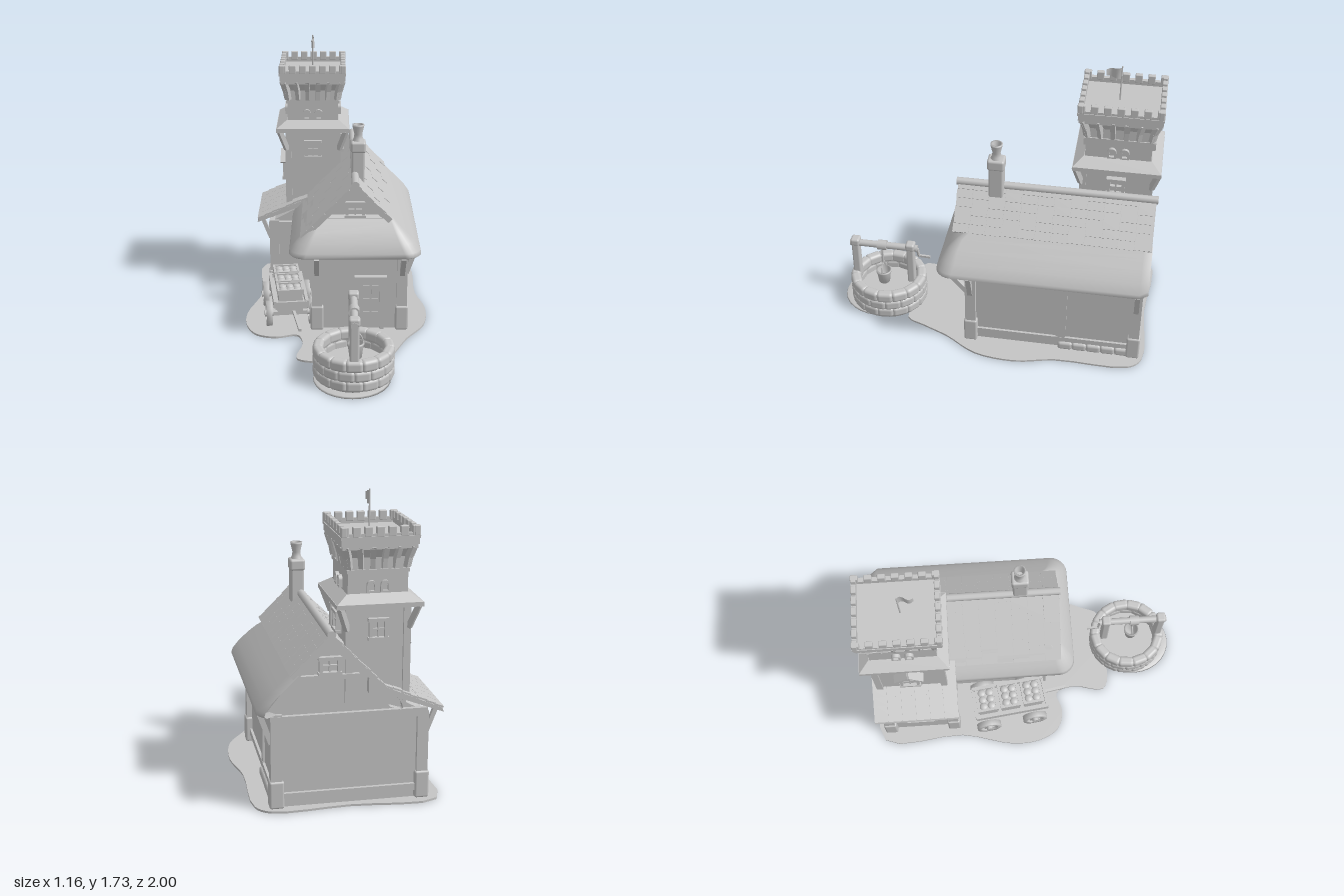
import * as THREE from 'three';
import { RoundedBoxGeometry } from 'three/addons/geometries/RoundedBoxGeometry.js';

const grey = new THREE.MeshStandardMaterial({ color: 0xc4c4c4, side: THREE.DoubleSide });
grey.name = 'plain grey';
const V = (x, y, z) => new THREE.Vector3(x, y, z);

function add(parent, name, geo, x = 0, y = 0, z = 0) {
  const m = new THREE.Mesh(geo, grey);
  m.name = name;
  m.position.set(x, y, z);
  parent.add(m);
  return m;
}
function group(parent, name, x = 0, y = 0, z = 0) {
  const g = new THREE.Group();
  g.name = name;
  g.position.set(x, y, z);
  parent.add(g);
  return g;
}
// box given by its limits
const span = (p, name, x0, x1, y0, y1, z0, z1) =>
  add(p, name, new THREE.BoxGeometry(x1 - x0, y1 - y0, z1 - z0), (x0 + x1) / 2, (y0 + y1) / 2, (z0 + z1) / 2);
// beam between two points of its parent's space
function beam(p, name, a, b, w, h = w) {
  const m = add(p, name, new THREE.BoxGeometry(w, h, a.distanceTo(b)));
  m.position.copy(a).lerp(b, 0.5);
  m.quaternion.setFromRotationMatrix(new THREE.Matrix4().lookAt(b, a, V(0, 1, 0)));
  return m;
}
const cyl = (p, name, r0, r1, h, x, y, z, n = 16) => add(p, name, new THREE.CylinderGeometry(r1, r0, h, n), x, y, z);
// flat shape in x-y, extruded along z
function slab(p, name, pts, z0, z1) {
  const s = new THREE.Shape(pts.map(q => new THREE.Vector2(q[0], q[1])));
  return add(p, name, new THREE.ExtrudeGeometry(s, { depth: z1 - z0, bevelEnabled: false }), 0, 0, z0);
}
const lathe = (pts, n) => new THREE.LatheGeometry(pts.map(q => new THREE.Vector2(...q)), n);
// skin over a list of open cross-sections
function loft(rows) {
  const n = rows[0].length, idx = [];
  for (let i = 0; i < rows.length - 1; i++) for (let j = 0; j < n - 1; j++) {
    const a = i * n + j;
    idx.push(a, a + n, a + 1, a + 1, a + n, a + n + 1);
  }
  const g = new THREE.BufferGeometry().setFromPoints(rows.flat());
  g.setIndex(idx);
  g.computeVertexNormals();
  return g;
}
// framed window facing +z, origin at its middle
function windowFrame(p, w, h, x, y, z) {
  const g = group(p, 'window', x, y, z);
  for (const s of [-1, 1]) {
    span(g, 'windowJamb', s * w / 2 - 0.009, s * w / 2 + 0.009, -h / 2, h / 2, -0.01, 0.02);
    span(g, 'windowRail', -w / 2 - 0.015, w / 2 + 0.015, s * h / 2 - 0.009, s * h / 2 + 0.009, -0.01, 0.025);
  }
  span(g, 'mullion', -0.004, 0.004, -h / 2, h / 2, -0.01, 0.012);
  span(g, 'glazingBar', -w / 2, w / 2, -0.004, 0.004, -0.01, 0.012);
  return g;
}
// corner post with a wider foot
function post(p, x, z, top) {
  span(p, 'cornerPost', x - 0.032, x + 0.032, 0.02, top, z - 0.032, z + 0.032);
  add(p, 'postFoot', new RoundedBoxGeometry(0.082, 0.16, 0.082, 2, 0.012), x, 0.095, z);
}

const RX = 0.11; // ridge x

function buildGround(root) {
  const pts = [[-0.5, -0.97], [-0.5, -0.45], [-0.58, -0.12], [-0.57, 0.06], [-0.5, 0.19], [-0.38, 0.23], [-0.25, 0.2],
    [-0.21, 0.32], [-0.24, 0.52], [-0.12, 0.56], [0.1, 0.5], [0.3, 0.53], [0.36, 0.41], [0.43, 0.25], [0.55, 0.05],
    [0.58, -0.2], [0.53, -0.45], [0.52, -0.9], [0.44, -0.98], [0, -0.97]];
  const c = new THREE.CatmullRomCurve3(pts.map(q => V(q[0], -q[1], 0)), true, 'centripetal').getPoints(80);
  const g = new THREE.ExtrudeGeometry(new THREE.Shape(c.map(q => new THREE.Vector2(q.x, q.y))), { depth: 0.012, bevelEnabled: false });
  add(root, 'ground', g.rotateX(-Math.PI / 2), 0, 0.003, 0);
}

function buildHouse(root) {
  const h = group(root, 'house');
  span(h, 'walls', -0.14, 0.405, 0.003, 0.57, -0.93, 0.1);
  slab(h, 'gableWall', [[-0.25, 0.55], [0.47, 0.55], [0.32, 0.74], [RX, 0.96], [-0.1, 0.74]], -0.93, 0.13);
  // corner posts, beams and stone footing
  for (const [x, z] of [[-0.125, 0.095], [0.405, 0.095], [0.405, -0.92]]) post(h, x, z, 0.56);
  span(h, 'frontBeam', -0.16, 0.44, 0.52, 0.56, 0.08, 0.13);
  span(h, 'sideBeam', 0.39, 0.435, 0.52, 0.56, -0.95, 0.12);
  span(h, 'sideMidPost', 0.39, 0.418, 0.05, 0.54, -0.5, -0.44);
  span(h, 'sideSill', 0.39, 0.42, 0.06, 0.1, -0.9, 0.07);
  span(h, 'backTopBeam', -0.44, 0.43, 0.5, 0.55, -0.955, -0.92);
  span(h, 'backSill', -0.44, 0.43, 0.06, 0.1, -0.95, -0.92);
  for (let i = 0; i < 5; i++)
    add(h, 'footingStone', new RoundedBoxGeometry(0.05, 0.06, 0.095, 2, 0.02), 0.41, 0.038, -0.5 - i * 0.088);
  // eave braces
  for (const x of [-0.125, 0.405]) beam(h, 'frontBrace', V(x, 0.39, 0.12), V(x, 0.545, 0.25), 0.03);
  for (const z of [0.095, -0.92]) beam(h, 'sideBrace', V(0.43, 0.39, z), V(0.49, 0.56, z), 0.03);
  // door
  const d = group(h, 'door', 0.21, 0, 0.1);
  span(d, 'doorLeaf', -0.06, 0.06, 0.03, 0.34, 0, 0.015);
  for (const s of [-1, 1]) span(d, 'doorJamb', s * 0.07 - 0.013, s * 0.07 + 0.013, 0.02, 0.35, 0, 0.035);
  span(d, 'doorLintel', -0.1, 0.1, 0.345, 0.375, 0, 0.045);
  for (const x of [-0.027, 0.027]) for (const y of [0.1, 0.19, 0.28])
    span(d, 'doorPanel', x - 0.02, x + 0.02, y - 0.033, y + 0.033, 0.01, 0.023);
  // gable trim at both ends
  for (const [z, s] of [[0.13, 1], [-0.93, -1]]) {
    const g = group(h, 'gableTrim', RX, 0, z);
    if (s < 0) g.rotation.y = Math.PI;
    windowFrame(g, 0.1, 0.085, 0, 0.82, 0.005);
    span(g, 'gableBeam', -0.21, 0.21, 0.745, 0.77, -0.01, 0.025);
    for (const k of [-1, 1]) beam(g, 'gableRafter', V(k * 0.2, 0.755, 0.01), V(0, 0.955, 0.01), 0.03);
  }
  buildRoof(h);
}

function buildRoof(h) {
  const r = group(h, 'mainRoof');
  // thatched lower roof: U-shaped contours wrapping round the front
  const contour = ([y, hx, zf, rad]) => {
    const pts = [V(RX + hx - 0.04, y, -0.98), V(RX + hx, y, -0.93)];
    for (const s of [1, -1]) for (let i = 0; i <= 6; i++) {
      const a = (s > 0 ? i : 6 - i) * Math.PI / 12;
      pts.push(V(RX + s * (hx - rad + rad * Math.cos(a)), y, zf - rad + rad * Math.sin(a)));
    }
    pts.push(V(RX - hx, y, -0.975));
    return pts;
  };
  const levels = [[0.575, 0.33, 0.13, 0.05], [0.555, 0.39, 0.29, 0.09], [0.565, 0.402, 0.302, 0.1], [0.59, 0.395, 0.297, 0.1],
    [0.64, 0.36, 0.272, 0.09], [0.7, 0.302, 0.232, 0.06], [0.75, 0.25, 0.18, 0.03], [0.785, 0.214, 0.13, 0.02]];
  add(r, 'thatch', loft(levels.map(contour)));
  // upper slopes with courses of uneven tiles
  for (const s of [1, -1]) {
    const low = s > 0 ? [0.22, 0.78] : [0.33, 0.665];
    const edge = [[RX, 1.005], [RX + s * low[0], low[1]], [RX + s * (low[0] - 0.02), low[1] - 0.02], [RX, 0.96]];
    slab(r, 'upperSlope', edge, -0.975, 0.215);
    const rows = s > 0 ? 6 : 9;
    for (let i = 0; i < rows; i++) for (let j = 0; j < 12; j++) {
      const t = (i + 0.5) / rows, wob = ((i * 7 + j * 5) % 4) * 0.0015;
      const m = add(r, 'roofTile', new THREE.BoxGeometry(0.052, 0.009, 0.097),
        RX + s * low[0] * t, 1.003 + (low[1] - 1.005) * t + wob, -0.925 + j * 0.099 + (i % 2) * 0.004);
      m.rotation.z = -s * (Math.atan2(1.005 - low[1], low[0]) - 0.06);
    }
  }
  const ridge = cyl(r, 'ridgeCap', 0.024, 0.024, 1.21, RX, 1.0, -0.38, 10);
  ridge.rotation.x = Math.PI / 2;
  // chimney
  const c = group(r, 'chimney', 0.13, 0, -0.02);
  add(c, 'chimneyStack', new RoundedBoxGeometry(0.08, 0.32, 0.09, 2, 0.012), 0, 1.04, 0);
  add(c, 'chimneyBand', new RoundedBoxGeometry(0.093, 0.07, 0.105, 2, 0.015), 0, 1.175, 0);
  const pot = [[0.04, 1.2], [0.028, 1.225], [0.024, 1.25], [0.036, 1.3], [0.037, 1.31], [0.026, 1.31], [0.018, 1.25]];
  add(c, 'chimneyPot', lathe(pot, 16));
}

function buildLeanTo(root) {
  const l = group(root, 'leanTo');
  span(l, 'leanToWalls', -0.42, -0.13, 0.003, 0.53, -0.93, -0.49);
  slab(l, 'leanToGable', [[-0.43, 0.52], [-0.1, 0.52], [-0.1, 0.69], [-0.17, 0.66]], -0.93, -0.49);
  for (const z of [-0.5, -0.92]) post(l, -0.415, z, 0.53);
  slab(l, 'leanToRoof', [[-0.525, 0.525], [-0.515, 0.55], [-0.17, 0.7], [-0.1, 0.76], [-0.1, 0.66], [-0.17, 0.66]], -0.975, -0.45);
  span(l, 'leanToBeam', -0.45, -0.14, 0.48, 0.52, -0.5, -0.465);
  span(l, 'leanToInnerPost', -0.19, -0.15, 0.02, 0.5, -0.5, -0.47);
  for (let i = 0; i < 7; i++) for (let j = 0; j < 6; j++) {
    const x = -0.497 + i * 0.047;
    const m = add(l, 'leanToTile', new THREE.BoxGeometry(0.055, 0.01, 0.085), x, 0.561 + (x + 0.5) * 0.435 + ((i + j * 3) % 3) * 0.002, -0.93 + j * 0.0875);
    m.rotation.z = 0.36;
  }
  for (const z of [-0.5, -0.92]) beam(l, 'leanToBrace', V(-0.44, 0.4, z), V(-0.49, 0.53, z), 0.025);
  const w = windowFrame(l, 0.15, 0.19, -0.422, 0.3, -0.71);
  w.rotation.y = -Math.PI / 2;
}

function buildTower(root) {
  const t = group(root, 'tower', -0.155, 0, -0.725);
  const block = (name, hx, hz, y0, y1) => span(t, name, -hx, hx, y0, y1, -hz, hz);
  // four-sided flare between two levels
  const flare = (name, a, b) => {
    const ring = ([hx, hz, y]) => [V(hx, y, hz), V(hx, y, -hz), V(-hx, y, -hz), V(-hx, y, hz), V(hx, y, hz)];
    const g = loft([ring(a), ring(b)]).toNonIndexed();
    g.computeVertexNormals();
    add(t, name, g);
  };
  block('lowerShaft', 0.165, 0.205, 0.3, 1.16);
  block('skirtEave', 0.238, 0.262, 1.135, 1.16);
  flare('skirtRoof', [0.235, 0.26, 1.16], [0.17, 0.2, 1.205]);
  block('upperShaft', 0.165, 0.195, 1.18, 1.47);
  block('stringCourse', 0.172, 0.203, 1.315, 1.335);
  flare('corbelCove', [0.167, 0.197, 1.4], [0.195, 0.23, 1.465]);
  block('lowerCornice', 0.205, 0.24, 1.45, 1.475);
  block('deck', 0.2, 0.23, 1.475, 1.505);
  for (const sx of [-1, 1]) for (const sz of [-1, 1]) {
    span(t, 'cornerPilaster', sx * 0.16 - 0.02, sx * 0.16 + 0.02, 0.6, 1.14, sz * 0.2 - 0.02, sz * 0.2 + 0.02);
    beam(t, 'skirtBracket', V(sx * 0.17, 1.01, sz * 0.21), V(sx * 0.215, 1.14, sz * 0.245), 0.03);
  }
  // the four faces: k = 0 front, 1 right, 2 back, 3 left
  for (let k = 0; k < 4; k++) {
    const f = group(t, 'towerFace');
    f.rotation.y = k * Math.PI / 2;
    const odd = k % 2, d = odd ? 0.165 : 0.195, half = odd ? 0.24 : 0.205, out = odd ? 0.205 : 0.24;
    for (const s of [-1, 1]) {
      // paired arched windows
      const arch = new THREE.Shape();
      arch.moveTo(-0.026, 0).lineTo(-0.026, 0.04).absarc(0, 0.04, 0.026, Math.PI, 0, true).lineTo(0.026, 0);
      const hole = new THREE.Path();
      hole.moveTo(-0.015, 0.01).lineTo(-0.015, 0.04).absarc(0, 0.04, 0.015, Math.PI, 0, true).lineTo(0.015, 0.01);
      arch.holes.push(hole);
      add(f, 'archedWindow', new THREE.ExtrudeGeometry(arch, { depth: 0.025, bevelEnabled: false }), s * 0.038, 1.21, d - 0.005);
    }
    // curved corbels
    const n = 6;
    for (let i = 0; i < n; i++) {
      const x = (i / (n - 1) - 0.5) * 2 * (half - 0.025);
      beam(f, 'corbelFoot', V(x * 0.86, 1.34, d), V(x * 0.91, 1.41, d + 0.012), 0.026);
      beam(f, 'corbelHead', V(x * 0.91, 1.4, d + 0.009), V(x, 1.465, out - 0.012), 0.03);
    }
    span(f, 'parapet', -half - 0.005, half + 0.005, 1.47, 1.535, out - 0.02, out + 0.005);
    span(f, 'parapetMoulding', -half - 0.01, half + 0.01, 1.505, 1.52, out - 0.02, out + 0.01);
    for (let i = 0; i < 7; i++) {
      const x = (i / 6 - 0.5) * 2 * (half - 0.012);
      add(f, 'merlon', new RoundedBoxGeometry(0.044, 0.055, 0.03, 1, 0.005), x, 1.545, out - 0.008);
    }
    if (k !== 3) windowFrame(f, 0.085, 0.105, 0, 1.01, d + 0.012);
    else {
      // hooded bay window
      const b = windowFrame(f, 0.1, 0.13, 0, 0.83, d + 0.02);
      span(b, 'bayBox', -0.045, 0.045, -0.06, 0.06, -0.03, 0.005);
      for (const s of [-1, 1]) beam(b, 'bayHood', V(s * 0.085, 0.05, 0.008), V(0, 0.12, 0.008), 0.055, 0.014);
    }
  }
  // flagpole and waving flag
  cyl(t, 'flagpole', 0.005, 0.004, 0.23, 0, 1.615, 0.02, 8);
  const rows = [0, 1, 2, 3, 4, 5].map(i => {
    const z = 0.02 + i * 0.018, x = 0.01 * Math.sin(i * 1.3);
    return [V(x, 1.645 + i * 0.003, z), V(x, 1.722 - i * 0.004, z)];
  });
  add(t, 'flag', loft(rows));
}

function buildWell(root) {
  const w = group(root, 'well', 0.095, 0, 0.7);
  const wall = group(w, 'wellWall');
  wall.scale.z = 1.04;
  add(wall, 'wellCore', lathe([[0.18, 0.185], [0.18, 0.01], [0.222, 0.003], [0.23, 0.1], [0.218, 0.185], [0.18, 0.185]], 32));
  for (let row = 0; row < 3; row++) for (let i = 0; i < 15; i++) {
    const a = (i + row * 0.5) * Math.PI * 2 / 15;
    const s = add(wall, 'wellStone', new RoundedBoxGeometry(0.103, 0.072, 0.062, 3, 0.022),
      Math.sin(a) * 0.205, 0.045 + row * 0.06, Math.cos(a) * 0.205);
    s.rotation.y = a;
  }
  const water = add(wall, 'water', new THREE.CircleGeometry(0.185, 32), 0, 0.09, 0);
  water.rotation.x = -Math.PI / 2;
  // patch of ground along the outer side of the well
  const apron = add(w, 'wellApron', lathe([[0.2, 0.003], [0.25, 0.003], [0.245, 0.014], [0.2, 0.016]], 28), -0.01, 0, 0.045);
  apron.scale.x = 0.9;
  for (const z of [-0.155, 0.205]) {
    add(w, 'wellPost', new RoundedBoxGeometry(0.055, 0.3, 0.05, 2, 0.012), 0, 0.3, z);
    add(w, 'postCap', new RoundedBoxGeometry(0.065, 0.05, 0.06, 2, 0.015), 0, 0.435, z);
  }
  const axle = cyl(w, 'windlass', 0.022, 0.022, 0.44, 0, 0.42, 0.02);
  axle.rotation.x = Math.PI / 2;
  const drum = cyl(w, 'ropeDrum', 0.032, 0.032, 0.06, 0, 0.42, 0.03);
  drum.rotation.x = Math.PI / 2;
  beam(w, 'crankArm', V(0, 0.42, -0.2), V(-0.01, 0.355, -0.205), 0.014);
  beam(w, 'crankHandle', V(-0.01, 0.355, -0.2), V(-0.01, 0.352, -0.28), 0.014);
  cyl(w, 'rope', 0.007, 0.007, 0.13, 0.01, 0.345, 0.03, 8);
  const bail = add(w, 'bucketHandle', new THREE.TorusGeometry(0.042, 0.004, 6, 16, Math.PI), 0.01, 0.22, 0.03);
  bail.scale.y = 1.5;
  const bk = [[0, 0.13], [0.036, 0.13], [0.046, 0.21], [0.05, 0.21], [0.05, 0.222], [0.04, 0.222], [0.033, 0.14], [0, 0.14]];
  add(w, 'bucket', lathe(bk, 18), 0.01, 0, 0.03);
}

function buildCart(root) {
  const c = group(root, 'cart', -0.315, 0, -0.13);
  c.rotation.y = 0.12;
  span(c, 'cartBed', -0.1, 0.1, 0.15, 0.172, -0.23, 0.25);
  for (const s of [-1, 1]) {
    span(c, 'sideRail', s * 0.1 - 0.01, s * 0.1 + 0.01, 0.16, 0.205, -0.23, 0.25);
    span(c, 'endRail', -0.1, 0.1, 0.16, 0.2, s * 0.235, s * 0.235 + 0.016);
    const z = s * 0.155;
    span(c, 'axle', -0.13, 0.13, 0.075, 0.1, z - 0.012, z + 0.012);
    span(c, 'axleBlock', -0.08, 0.08, 0.09, 0.155, z - 0.02, z + 0.02);
    for (const k of [-1, 1]) {
      const w = group(c, 'wheel', k * 0.135, 0.088, z);
      w.rotation.y = Math.PI / 2;
      const rim = lathe([[0.056, -0.018], [0.08, -0.018], [0.08, 0.018], [0.056, 0.018], [0.056, -0.018]], 24);
      add(w, 'wheelRim', rim).rotation.x = Math.PI / 2;
      cyl(w, 'wheelHub', 0.02, 0.02, 0.055, 0, 0, 0, 12).rotation.x = Math.PI / 2;
      for (let i = 0; i < 3; i++) add(w, 'spokes', new THREE.BoxGeometry(0.125, 0.013, 0.014)).rotation.z = i * Math.PI / 3;
    }
  }
  beam(c, 'drawbar', V(0.02, 0.1, 0.15), V(0.04, 0.075, 0.4), 0.018);
  // crates of produce
  for (const z of [-0.145, 0.005, 0.155]) {
    span(c, 'crate', -0.075, 0.075, 0.17, 0.255, z - 0.06, z + 0.06);
    for (const s of [-1, 1]) {
      span(c, 'crateSlat', -0.083, 0.083, 0.235, 0.268, z + s * 0.06 - 0.007, z + s * 0.06 + 0.007);
      span(c, 'crateSlat', s * 0.076 - 0.007, s * 0.076 + 0.007, 0.235, 0.268, z - 0.06, z + 0.06);
    }
    for (let i = 0; i < 6; i++) {
      const p = add(c, 'produce', new THREE.SphereGeometry(0.027, 10, 8), -0.045 + (i % 3) * 0.045, 0.253, z + (i < 3 ? -0.026 : 0.026));
      p.scale.y = 0.6;
    }
  }
}

export function createModel() {
  const root = new THREE.Group();
  root.name = 'cottageWithTower';
  for (const build of [buildGround, buildHouse, buildLeanTo, buildTower, buildWell, buildCart]) build(root);
  return root;
}
